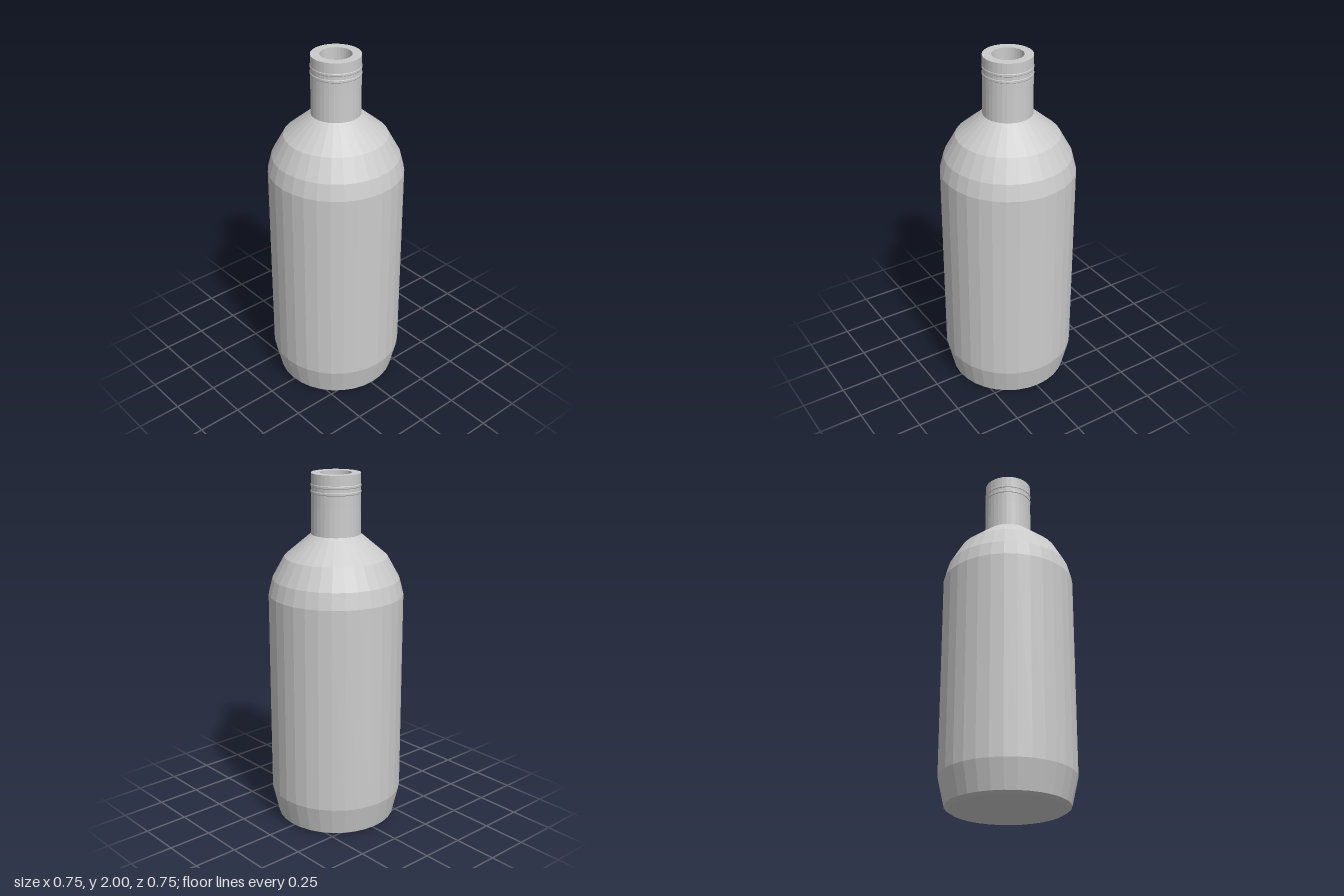
import * as THREE from 'three';

const SIDES = 32;

export function createModel() {
  const bottle = new THREE.Group();
  bottle.name = 'bottle';
  const material = new THREE.MeshStandardMaterial({ color: 0xcccccc, flatShading: true });

  // Each part is a faceted turning of [radius, height] pairs, outside to the right of travel
  const turned = (name, profile) => {
    const points = profile.map(([r, y]) => new THREE.Vector2(r, y));
    const mesh = new THREE.Mesh(new THREE.LatheGeometry(points, SIDES), material);
    mesh.name = name;
    bottle.add(mesh);
  };

  // Hollow conical underside and narrow standing rim
  turned('base', [[0, 0.1], [0.3, 0.005], [0.315, 0], [0.338, 0.015]]);

  // Tapered foot, straight wall and rounded shoulder
  turned('body', [
    [0.338, 0.015], [0.375, 0.175], [0.375, 1.335],
    [0.352, 1.425], [0.285, 1.545], [0.137, 1.67],
  ]);

  // Neck with two fine raised rings, flat lip and bore
  const neck = [[0.137, 1.67], [0.135, 1.82]];
  for (const y of [1.9, 1.935]) {
    neck.push([0.135, y - 0.008], [0.137, y - 0.005], [0.137, y + 0.005], [0.135, y + 0.008]);
  }
  neck.push([0.135, 2], [0.086, 2], [0.086, 1.67], [0, 1.67]);
  turned('neck', neck);

  return bottle;
}
